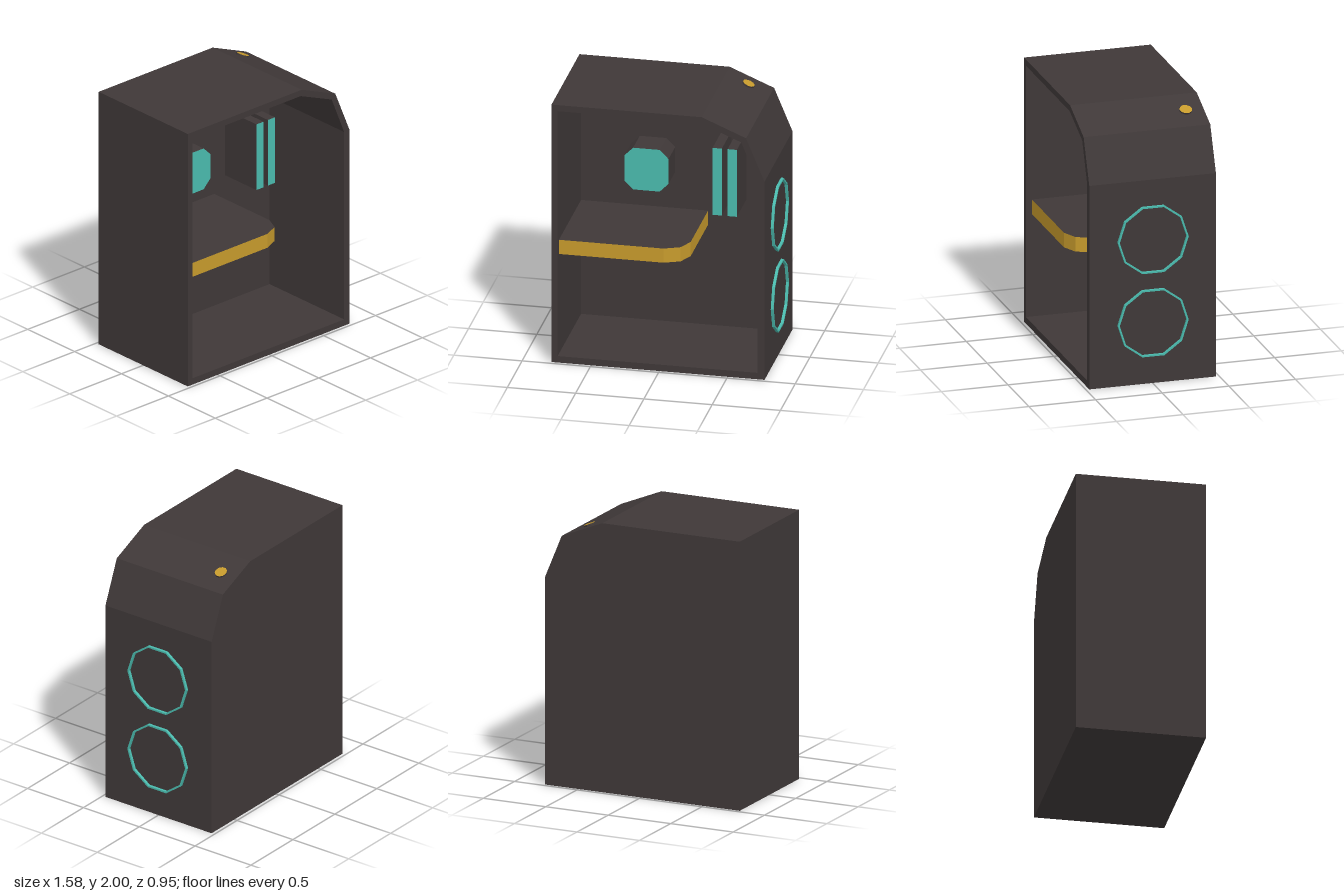
import * as THREE from 'three';

const mat = (name, color) => Object.assign(new THREE.MeshStandardMaterial({ color, flatShading: true }), { name });

const points = (list) => list.map(([x, y]) => new THREE.Vector2(x, y));

// Flat outline extruded from z = back to z = front
function prism(outline, back, front, hole) {
  const shape = new THREE.Shape(points(outline));
  if (hole) shape.holes.push(new THREE.Path(points(hole)));
  const g = new THREE.ExtrudeGeometry(shape, { depth: front - back, bevelEnabled: false });
  return g.translate(0, 0, back);
}

// Regular polygon outline
const polygon = (r, n) => Array.from({ length: n }, (_, i) => {
  const a = (i / n) * Math.PI * 2;
  return [r * Math.cos(a), r * Math.sin(a)];
});

export function createModel() {
  const group = new THREE.Group();
  const dark = mat('charcoal', 0x3f3838);
  const teal = mat('teal', 0x4abaad);
  const gold = mat('gold', 0xc69a2c);

  const add = (name, geometry, material) => {
    const mesh = new THREE.Mesh(geometry, material);
    mesh.name = name;
    group.add(mesh);
    return mesh;
  };

  const FRONT = 0.475, BACK = -0.475, INNER = -0.32;
  const outer = [[-0.79, 0], [0.77, 0], [0.77, 1.54], [0.635, 1.865], [0.31, 2], [-0.79, 2]];
  const inner = [[-0.745, 0.05], [0.72, 0.05], [0.72, 1.535], [0.6, 1.83], [0.3, 1.953], [-0.745, 1.953]];

  // Case: open-fronted shell and thick back
  add('caseShell', prism(outer, INNER, FRONT, inner), dark);
  add('caseBack', prism(outer, BACK, INNER), dark);

  // Shelf with a rounded corner and gold edge (outline drawn as x, -z)
  const shelf = prism([[-0.745, -0.43], [0.02, -0.43], [0.135, -0.38], [0.185, -0.27],
    [0.185, -INNER], [-0.745, -INNER]], 0, 0.11);
  add('shelf', shelf.rotateX(-Math.PI / 2).translate(0, 0.825, 0), [dark, gold]);

  // Chamfered block with a teal face
  const h = 0.162, c = 0.097;
  const block = prism([[-c, -h], [c, -h], [h, -c], [h, c], [c, h], [-c, h], [-h, c], [-h, -c]], INNER, -0.095);
  add('coolerBlock', block.translate(-0.218, 1.31, 0), [teal, dark]);

  // Upright cards with teal front edges
  for (const x of [0.29, 0.4]) {
    const w = 0.068;
    add('uprightCard', prism([[x, 1.05], [x + w, 1.05], [x + w, 1.57], [x, 1.57]], INNER, 0.015), [teal, dark]);
  }

  // Ten-sided rings on the side wall
  for (const y of [0.46, 1.09]) {
    const ring = prism(polygon(0.265, 10), 0, 0.02, polygon(0.252, 10));
    add('sideRing', ring.rotateY(Math.PI / 2).translate(0.77, y, 0), teal);
  }

  // Button on the sloping top corner
  const button = add('button', new THREE.CylinderGeometry(0.046, 0.046, 0.02, 10), [dark, gold, gold]);
  button.rotation.z = -Math.atan2(0.135, 0.325);
  button.position.set(0.476, 1.934, -0.34);

  return group;
}
